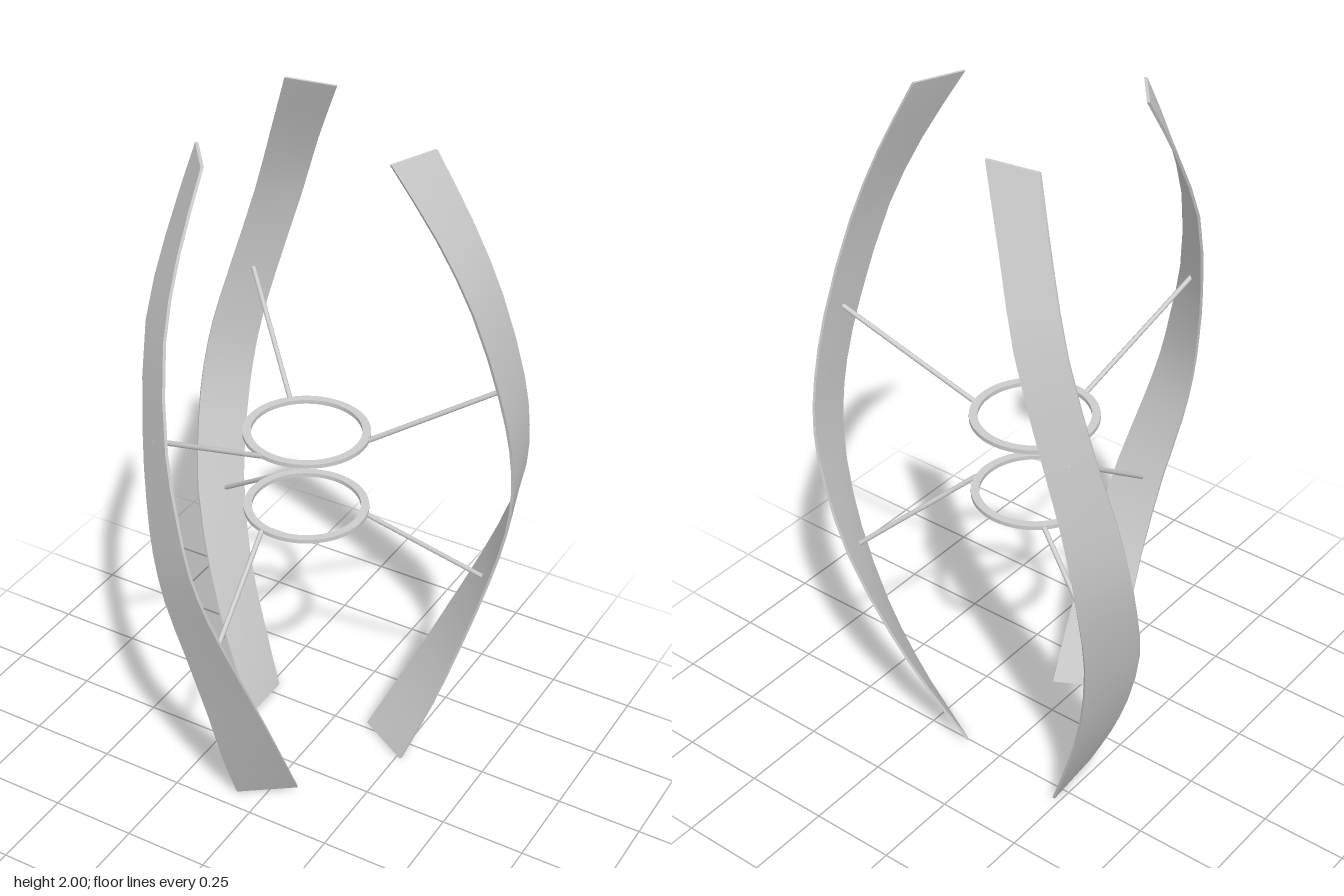
import * as THREE from 'three';

const mat = new THREE.MeshStandardMaterial({ color: 0xcccccc });
const V = (x, y, z) => new THREE.Vector3(x, y, z);

// Chord ends of the blade at rising heights, measured from the rotor axis:
// [height, trailing x, trailing z, leading x, leading z]
const SECTIONS = [
  [0, 0.085, 0.19, -0.065, 0.285],
  [0.2, 0.1, 0.3, -0.058, 0.37],
  [0.4, 0.103, 0.4, -0.053, 0.44],
  [0.65, 0.083, 0.51, -0.072, 0.51],
  [0.85, 0.042, 0.573, -0.107, 0.548],
  [1, 0.008, 0.6, -0.132, 0.555],
  [1.15, -0.025, 0.597, -0.155, 0.54],
  [1.33, -0.07, 0.57, -0.185, 0.5],
  [1.6, -0.115, 0.495, -0.22, 0.415],
  [1.8, -0.12, 0.415, -0.214, 0.32],
  [2, -0.11, 0.315, -0.2, 0.2],
];

// Twisted strip with a thin rectangular section; each side keeps its own smooth normals
function bladeGeometry(rows = 20, thickness = 0.008) {
  const trailing = new THREE.CatmullRomCurve3(SECTIONS.map((s) => V(s[1], s[0], s[2])));
  const leading = new THREE.CatmullRomCurve3(SECTIONS.map((s) => V(s[3], s[0], s[4])));
  const loops = [];
  for (let i = 0; i <= rows; i++) {
    const a = trailing.getPoint(i / rows);
    const b = leading.getPoint(i / rows);
    a.y += 0.012 * (1 - i / rows); // lower end is cut slightly askew
    const n = V(b.z - a.z, 0, a.x - b.x).normalize().multiplyScalar(thickness / 2);
    loops.push([a.clone().add(n), b.clone().add(n), b.clone().sub(n), a.clone().sub(n)]);
  }
  const pos = [];
  const index = [];
  const put = (p) => pos.push(p.x, p.y, p.z) / 3 - 1;
  for (let k = 0; k < 4; k++) {
    const base = pos.length / 3;
    for (const loop of loops) {
      put(loop[k]);
      put(loop[(k + 1) % 4]);
    }
    for (let i = 0; i < rows; i++) {
      const a = base + i * 2;
      index.push(a + 1, a, a + 2, a + 1, a + 2, a + 3);
    }
  }
  // End caps
  for (const corners of [loops[0], [...loops[rows]].reverse()]) {
    const [a, b, c, d] = corners.map(put);
    index.push(a, b, c, a, c, d);
  }
  const geo = new THREE.BufferGeometry();
  geo.setAttribute('position', new THREE.Float32BufferAttribute(pos, 3));
  geo.setIndex(index);
  geo.computeVertexNormals();
  return geo;
}

// Round bar between two points
function rod(from, to, radius) {
  const dir = to.clone().sub(from);
  const mesh = new THREE.Mesh(new THREE.CylinderGeometry(radius, radius, dir.length(), 10), mat);
  mesh.position.copy(from).add(to).multiplyScalar(0.5);
  mesh.quaternion.setFromUnitVectors(V(0, 1, 0), dir.normalize());
  return mesh;
}

// Flat hub ring lying at a given height
function hubRing(y) {
  const height = 0.012;
  const shape = new THREE.Shape().absarc(0, 0, 0.175, 0, Math.PI * 2);
  shape.holes.push(new THREE.Path().absarc(0, 0, 0.152, 0, Math.PI * 2, true));
  const geo = new THREE.ExtrudeGeometry(shape, { depth: height, bevelEnabled: false, curveSegments: 32 });
  geo.rotateX(-Math.PI / 2).translate(0, y - height / 2, 0);
  return new THREE.Mesh(geo, mat);
}

export function createModel() {
  const model = new THREE.Group();
  model.name = 'helicalWindRotor';
  const rotor = new THREE.Group();
  rotor.name = 'rotor';
  rotor.position.set(-0.015, 0, -0.095);
  model.add(rotor);

  // Two hub rings
  [['lowerRing', 0.868], ['upperRing', 1.112]].forEach(([name, y]) => {
    const ring = hubRing(y);
    ring.name = name;
    rotor.add(ring);
  });

  // Three blades, each held by a lower and an upper strut
  const geo = bladeGeometry();
  for (let i = 0; i < 3; i++) {
    const arm = new THREE.Group();
    arm.name = `bladeAssembly${i + 1}`;
    arm.rotation.y = (i * Math.PI * 2) / 3;
    const blade = new THREE.Mesh(geo, mat);
    blade.name = 'blade';
    const lower = rod(V(-0.043, 0.868, 0.168), V(-0.006, 0.63, 0.502), 0.007);
    lower.name = 'lowerStrut';
    const upper = rod(V(-0.043, 1.112, 0.168), V(-0.128, 1.335, 0.536), 0.007);
    upper.name = 'upperStrut';
    arm.add(blade, lower, upper);
    rotor.add(arm);
  }
  return model;
}
